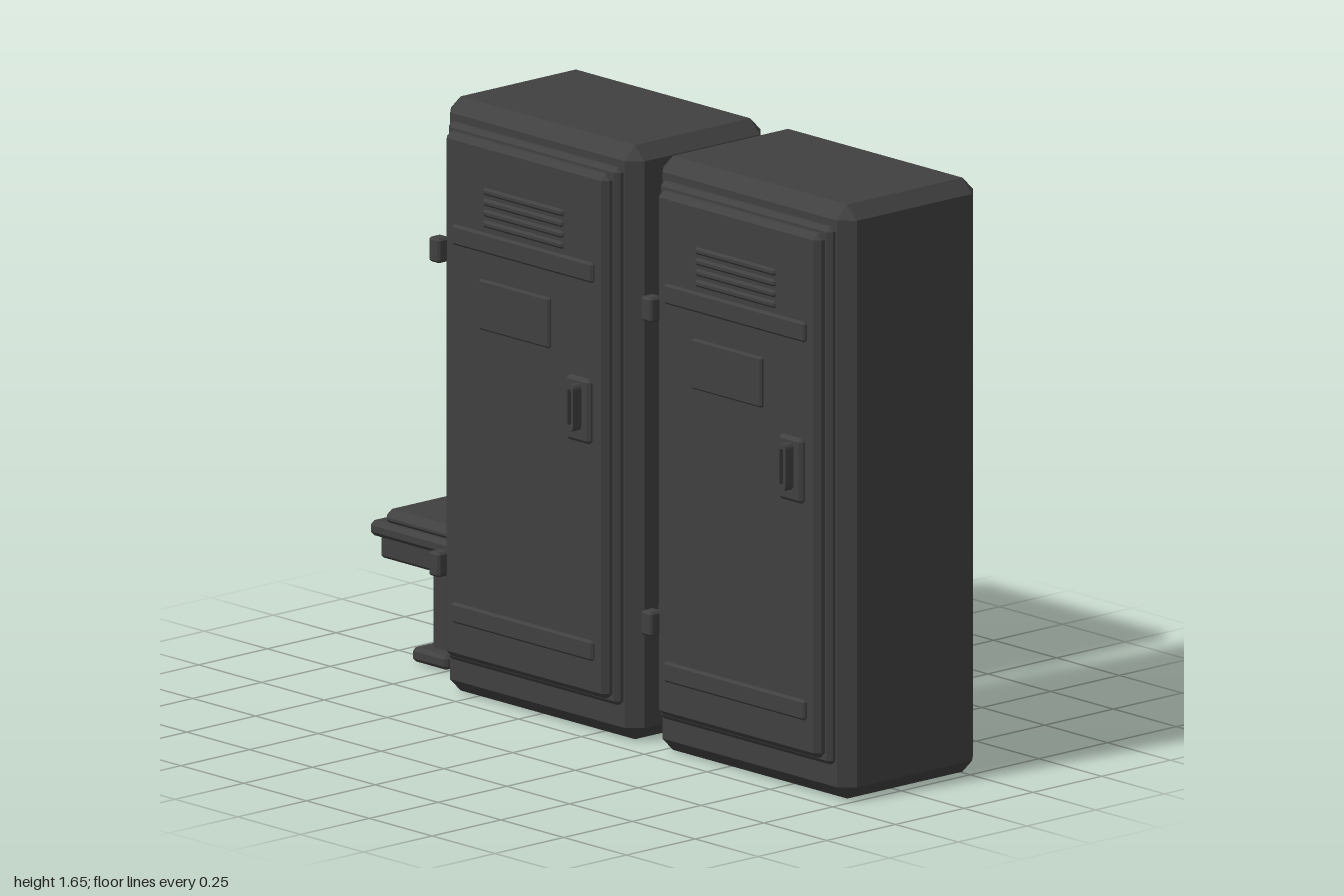
import * as THREE from 'three';
import { ConvexGeometry } from 'three/addons/geometries/ConvexGeometry.js';

const metal = new THREE.MeshStandardMaterial({ color: 0x404040 });
metal.name = 'dark grey metal';

// Box between two corners with every edge chamfered by c
function block(parent, name, [x0, x1], [y0, y1], [z0, z1], c) {
  const half = [(x1 - x0) / 2, (y1 - y0) / 2, (z1 - z0) / 2];
  const points = [];
  for (const sx of [-1, 1]) for (const sy of [-1, 1]) for (const sz of [-1, 1]) {
    for (let axis = 0; axis < 3; axis++) {
      const h = half.map((v, i) => (i === axis ? v : v - c));
      points.push(new THREE.Vector3(sx * h[0], sy * h[1], sz * h[2]));
    }
  }
  const mesh = new THREE.Mesh(new ConvexGeometry(points), metal);
  mesh.name = name;
  mesh.position.set((x0 + x1) / 2, (y0 + y1) / 2, (z0 + z1) / 2);
  parent.add(mesh);
  return mesh;
}

// Rounded upright grip with a slot through it
function grip(parent) {
  const outline = (path, r, h) => {
    path.absarc(0, h, r, 0, Math.PI, false);
    path.absarc(0, -h, r, Math.PI, Math.PI * 2, false);
    path.closePath();
    return path;
  };
  const shape = outline(new THREE.Shape(), 0.016, 0.05);
  shape.holes.push(outline(new THREE.Path(), 0.007, 0.045));
  const mesh = new THREE.Mesh(
    new THREE.ExtrudeGeometry(shape, { depth: 0.035, bevelEnabled: false, curveSegments: 6 }), metal);
  mesh.name = 'handleGrip';
  mesh.position.set(0.23, 0.92, 0.26);
  parent.add(mesh);
}

// One locker, centred on its own x = 0
function createLocker() {
  const locker = new THREE.Group();
  block(locker, 'cabinet', [-0.385, 0.385], [0, 1.65], [-0.295, 0.2], 0.038);
  block(locker, 'doorFrame', [-0.34, 0.342], [0.1, 1.592], [0.16, 0.222], 0.012);
  block(locker, 'door', [-0.322, 0.324], [0.118, 1.574], [0.18, 0.25], 0.016);

  // Stiffening strips and name plate
  for (const y of [0.2475, 1.2975])
    block(locker, 'strip', [-0.28, 0.282], [y - 0.028, y + 0.028], [0.235, 0.26], 0.006);
  block(locker, 'namePlate', [-0.17, 0.11], [1.055, 1.195], [0.235, 0.26], 0.005);

  // Vent louvres
  for (let i = 0; i < 4; i++) {
    const y = 1.35 + i * 0.03;
    block(locker, 'ventSlat', [-0.16, 0.16], [y - 0.01, y + 0.01], [0.24, 0.257], 0.006);
  }

  // Handle
  block(locker, 'handlePlate', [0.18, 0.275], [0.82, 1.0], [0.235, 0.265], 0.009);
  grip(locker);

  // Hinges
  for (const y of [0.375, 1.2475])
    block(locker, 'hinge', [-0.348, -0.305], [y - 0.034, y + 0.034], [0.236, 0.28], 0.006);
  return locker;
}

// Bench running behind the lockers
function createBench() {
  const bench = new THREE.Group();
  block(bench, 'benchSeat', [-1, 0.6], [0.34, 0.382], [-0.265, 0.112], 0.012);
  block(bench, 'benchCushion', [-0.965, 0.565], [0.37, 0.417], [-0.25, 0.095], 0.02);
  block(bench, 'benchRail', [-0.987, 0.587], [0.275, 0.345], [-0.235, 0.082], 0.008);
  for (const x of [-0.815, 0.415]) {
    block(bench, 'benchLeg', [x - 0.037, x + 0.037], [0.02, 0.3], [-0.175, 0.02], 0.012);
    block(bench, 'benchFoot', [x - 0.07, x + 0.07], [0.003, 0.043], [-0.215, 0.062], 0.01);
  }
  return bench;
}

export function createModel() {
  const model = new THREE.Group();
  model.name = 'lockersWithBench';
  [['rightLocker', -0.23], ['leftLocker', 0.615]].forEach(([name, x]) => {
    const locker = createLocker();
    locker.name = name;
    locker.position.x = x;
    model.add(locker);
  });
  const bench = createBench();
  bench.name = 'bench';
  model.add(bench);
  return model;
}
